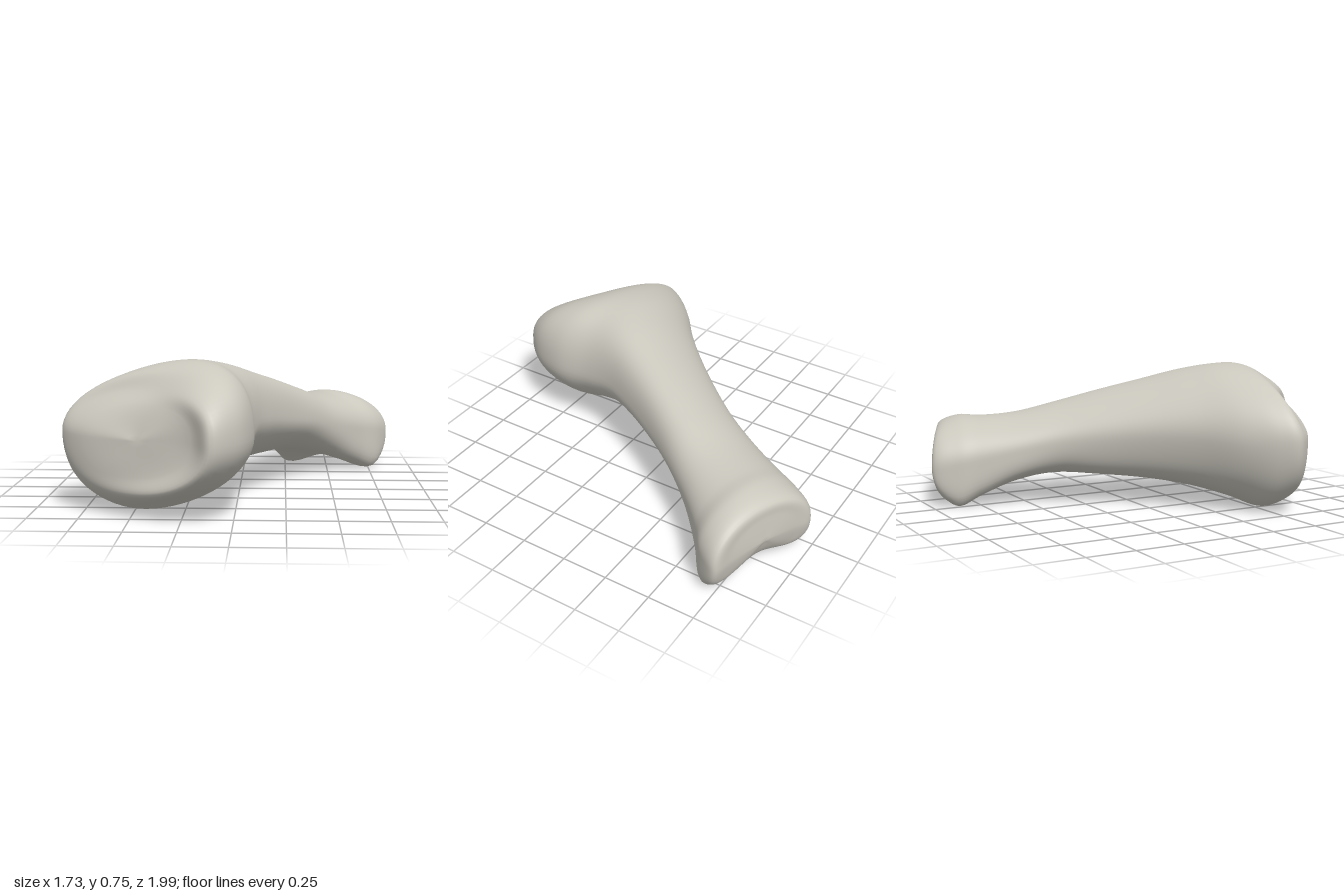
import * as THREE from 'three';
import { mergeVertices } from 'three/addons/utils/BufferGeometryUtils.js';

// Sections from the wide head to the narrow end:
// [left x, left z, right x, right z, top y, bottom y, side y, skew, top power, bottom power, notch]
const SECTIONS = [
  [-0.84, 0.555, -0.10, 0.99, 0.63, 0.13, 0.40, 0.07, 2.4, 2.2, 0],
  [-0.865, 0.50, 0.03, 0.88, 0.71, 0.06, 0.40, 0.10, 2.3, 2, 0],
  [-0.82, 0.42, 0.092, 0.70, 0.75, 0.015, 0.40, 0.12, 2.1, 1.9, 0],
  [-0.70, 0.30, 0.09, 0.50, 0.75, 0.07, 0.40, 0.12, 2, 1.8, 0],
  [-0.50, 0.15, 0.12, 0.33, 0.72, 0.12, 0.42, 0.14, 2, 1.7, 0],
  [-0.30, -0.04, 0.19, 0.16, 0.665, 0.15, 0.41, 0.15, 2, 1.7, 0],
  [-0.12, -0.25, 0.30, -0.05, 0.60, 0.165, 0.38, 0.15, 2, 1.8, 0],
  [0.00, -0.42, 0.42, -0.24, 0.54, 0.17, 0.35, 0.11, 2, 2.1, 0],
  [0.10, -0.62, 0.55, -0.42, 0.485, 0.12, 0.30, 0.05, 2, 3, 0.02],
  [0.175, -0.79, 0.70, -0.58, 0.465, 0.04, 0.26, 0, 2, 5, 0.05],
  [0.215, -0.89, 0.81, -0.67, 0.465, -0.01, 0.24, 0, 2, 6, 0.08],
  [0.29, -1.0, 0.86, -0.78, 0.42, 0.04, 0.21, 0, 2.2, 4, 0.05],
];
const HEAD_LEAN = [1, 0.75, 0.4, 0.12]; // how far the lean of the head's face carries along
const AXIS = new THREE.Vector3(0.52, 0, -0.85);
const SIDES = 72;
const STEPS = 6;

// One point on a section, at an angle measured from its right edge upward
function sectionPoint(s, angle) {
  const [lx, lz, rx, rz, top, bottom, side, skew, topPower, bottomPower, notch] = s;
  const c = Math.cos(angle), v = Math.sin(angle);
  const n = v > 0 ? topPower : bottomPower;
  const r = (Math.abs(c) ** n + Math.abs(v) ** n) ** (-1 / n);
  const across = r * c + 2 * skew * v * Math.abs(v);
  const f = (across + 1) / 2;
  // A hollow between the two knuckles on the underside
  const hollow = v < 0 ? notch * (1 - Math.min(1, across * across)) ** 2 * v * v : 0;
  const y = side + (v > 0 ? top - side : side - bottom) * r * v + hollow;
  return new THREE.Vector3(lx + (rx - lx) * f, y, lz + (rz - lz) * f);
}

// The lengthwise curve of the surface at one angle, closed by both end faces
function lengthCurve(angle) {
  const c = Math.cos(angle), v = Math.sin(angle);
  const body = SECTIONS.map((s) => sectionPoint(s, angle));
  const head = body[0], tail = body[body.length - 1];

  // The head's face is a saddle: hollow toward the right, its top leaning back on the left
  const headLean = v > 0 ? 0.13 * v * v * (1 - 0.6 * c) : 0;
  const headCentre = new THREE.Vector3(-0.46, 0.39, 0.765);
  const headRing = headCentre.clone().lerp(head, 0.68);
  headRing.addScaledVector(AXIS, 0.5 * headLean + 0.005 * c * c + 0.035 * c);
  HEAD_LEAN.forEach((amount, i) => body[i].addScaledVector(AXIS, headLean * amount));

  // The narrow end's face is nearly flat and tucks under at the bottom
  const tailLean = (v > 0 ? 0.02 : 0.07) * v * v;
  const tailCentre = new THREE.Vector3(0.57, 0.23, -0.895);
  const tailRing = tailCentre.clone().lerp(tail, 0.65);
  tailRing.addScaledVector(AXIS, -0.5 * tailLean);
  tail.addScaledVector(AXIS, -tailLean);

  return new THREE.CatmullRomCurve3(
    [headCentre, headRing, ...body, tailRing, tailCentre], false, 'centripetal');
}

function boneGeometry() {
  const rows = (SECTIONS.length + 3) * STEPS;
  const positions = [], index = [];
  for (let j = 0; j < SIDES; j++) {
    const curve = lengthCurve((j / SIDES) * Math.PI * 2);
    for (let i = 0; i <= rows; i++) positions.push(...curve.getPoint(i / rows).toArray());
  }
  const at = (i, j) => (j % SIDES) * (rows + 1) + i;
  for (let j = 0; j < SIDES; j++) {
    for (let i = 0; i < rows; i++) {
      const a = at(i, j), b = at(i, j + 1), c = at(i + 1, j), d = at(i + 1, j + 1);
      if (i > 0) index.push(a, c, b);
      if (i < rows - 1) index.push(b, c, d);
    }
  }
  let geometry = new THREE.BufferGeometry();
  geometry.setAttribute('position', new THREE.Float32BufferAttribute(positions, 3));
  geometry.setIndex(index);
  geometry = mergeVertices(geometry, 1e-5);

  // Rest on the ground, centred
  geometry.computeBoundingBox();
  const box = geometry.boundingBox, mid = box.getCenter(new THREE.Vector3());
  geometry.translate(-mid.x, -box.min.y, -mid.z);
  geometry.computeVertexNormals();
  return geometry;
}

export function createModel() {
  const group = new THREE.Group();
  group.name = 'bone';
  const boneGrey = new THREE.MeshStandardMaterial({ color: 0xcbc8be });
  boneGrey.name = 'bone grey';
  const body = new THREE.Mesh(boneGeometry(), boneGrey);
  body.name = 'boneBody';
  group.add(body);
  return group;
}
